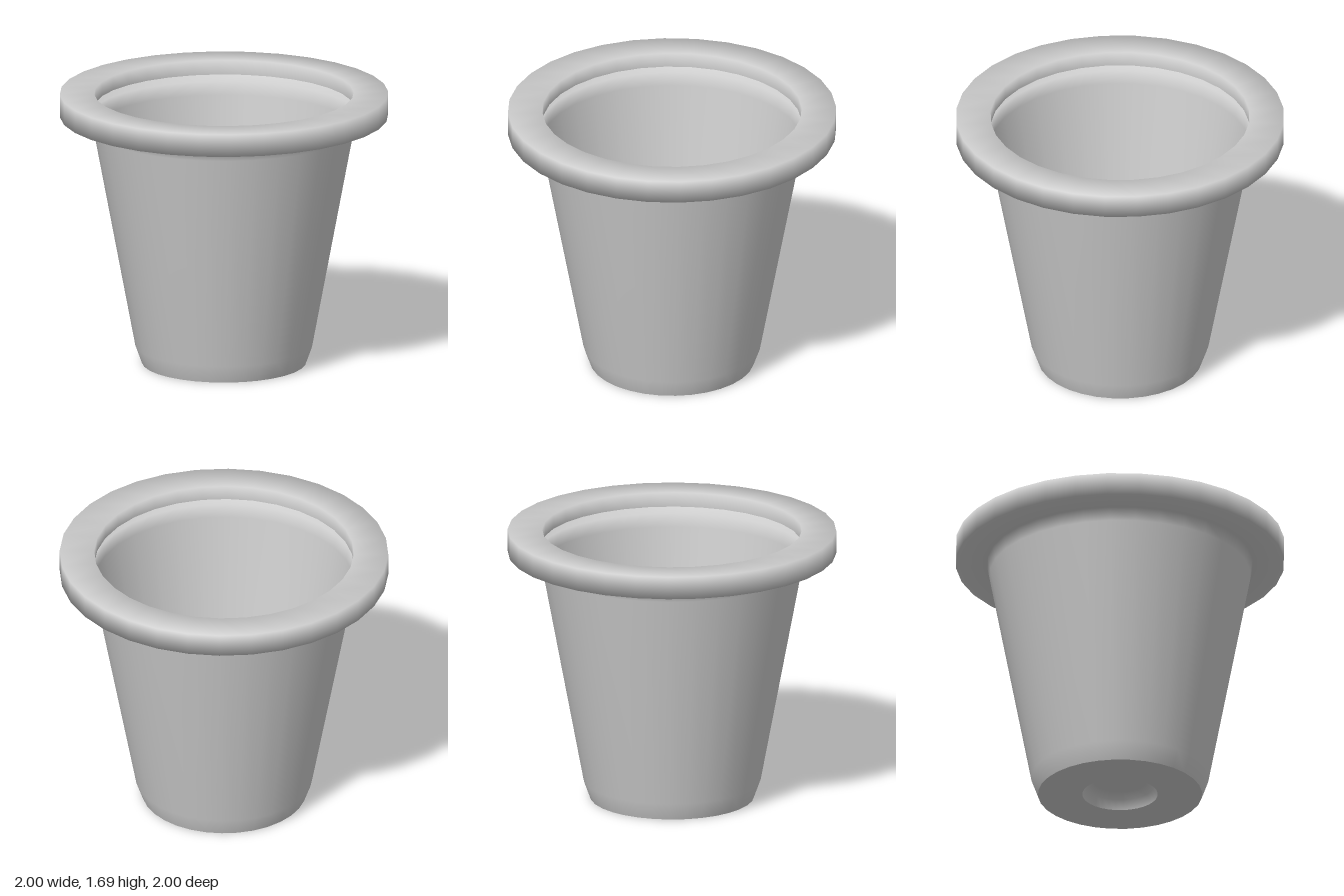
import * as THREE from 'three';

const SIDES = 32;

export function createModel() {
  const pot = new THREE.Group();
  pot.name = 'flowerPot';
  const material = new THREE.MeshStandardMaterial({ color: 0xcccccc, side: THREE.DoubleSide });

  // Spins a [radius, height] profile around the y axis
  const addLathe = (name, profile) => {
    const points = profile.map(([r, y]) => new THREE.Vector2(r, y));
    const mesh = new THREE.Mesh(new THREE.LatheGeometry(points, SIDES), material);
    mesh.name = name;
    pot.add(mesh);
  };

  // Dimple pushed up in the middle of the base
  addLathe('baseDimple', [[0, 0.09], [0.16, 0.09], [0.21, 0.06], [0.23, 0]]);

  // Flat base ring
  addLathe('base', [[0.23, 0], [0.5, 0]]);

  // Thin tapered wall that folds out, up and back in to form the smooth rolled rim
  addLathe('wallAndRim', [
    [0.5, 0], [0.54, 0.11], [0.795, 1.47], [0.81, 1.55],
    [1, 1.55], [1, 1.69], [0.79, 1.69], [0.79, 1.6],
  ]);

  return pot;
}
